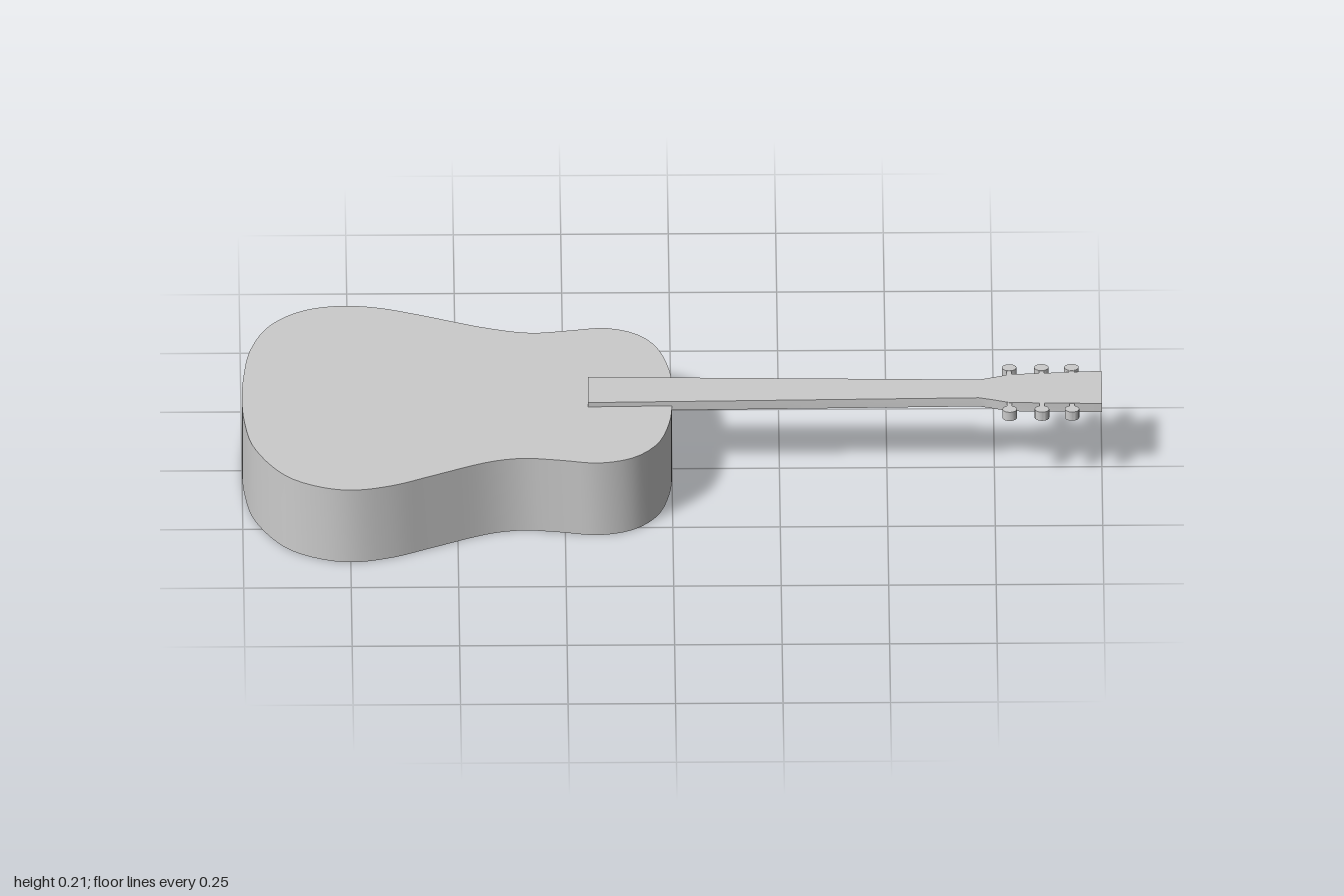
import * as THREE from 'three';
import { toCreasedNormals } from 'three/addons/utils/BufferGeometryUtils.js';

const material = new THREE.MeshStandardMaterial({ color: 0xcccccc });

// Upright slab from an outline of [x, z] points, between two heights
function slab(name, points, bottom, top) {
  const shape = new THREE.Shape(points.map(([x, z]) => new THREE.Vector2(x, -z)));
  let geometry = new THREE.ExtrudeGeometry(shape, { depth: top - bottom, bevelEnabled: false });
  geometry.rotateX(-Math.PI / 2).translate(0, bottom, 0);
  geometry = toCreasedNormals(geometry, 0.6);
  const mesh = new THREE.Mesh(geometry, material);
  mesh.name = name;
  return mesh;
}

// Smooth closed outline through [x, z] points
function smoothOutline(points, count) {
  const curve = new THREE.CatmullRomCurve3(
    points.map(([x, z]) => new THREE.Vector3(x, 0, z)), true, 'centripetal');
  return curve.getSpacedPoints(count).slice(0, -1).map(p => [p.x, p.z]);
}

export function createModel() {
  const model = new THREE.Group();
  model.name = 'guitar';

  // Hollow-waisted body with straight sides
  const bodyOutline = [
    [-1, 0], [-0.995, 0.1], [-0.973, 0.21], [-0.9, 0.33], [-0.82, 0.378], [-0.745, 0.392],
    [-0.65, 0.372], [-0.56, 0.332], [-0.42, 0.272], [-0.345, 0.26], [-0.265, 0.268],
    [-0.17, 0.281], [-0.09, 0.258], [-0.035, 0.2], [-0.005, 0.1],
    [0, 0], [-0.003, -0.1], [-0.035, -0.213], [-0.08, -0.267], [-0.15, -0.293],
    [-0.24, -0.283], [-0.325, -0.274], [-0.425, -0.295], [-0.6, -0.359], [-0.68, -0.384],
    [-0.77, -0.393], [-0.86, -0.371], [-0.933, -0.31], [-0.978, -0.21], [-0.995, -0.1],
  ];
  model.add(slab('body', smoothOutline(bodyOutline, 120), 0, 0.2));

  // Neck and flared headstock in one flat piece
  const bottom = 0.188, top = 0.212;
  model.add(slab('neckAndHeadstock', [
    [-0.195, 0.042], [0.714, 0.029], [0.75, 0.039], [0.785, 0.05], [1, 0.056],
    [1, -0.083], [0.785, -0.07], [0.75, -0.058], [0.714, -0.048], [-0.195, -0.067],
  ], bottom, top));

  // Tuning pegs: thin stem with an oval button, three per side
  for (const [side, edge, tip] of [['left', 0.045, 0.092], ['right', -0.065, -0.113]]) {
    const s = Math.sign(tip);
    [0.785, 0.86, 0.93].forEach((x, i) => {
      const peg = new THREE.Group();
      peg.name = `${side}TuningPeg${i + 1}`;
      const button = [];
      for (let k = 0; k < 16; k++) {
        const a = -k / 16 * Math.PI * 2;
        button.push([x + 0.017 * Math.cos(a), tip - s * 0.014 + 0.014 * Math.sin(a)]);
      }
      const stem = new THREE.Mesh(
        new THREE.BoxGeometry(0.012, top - bottom - 0.002, Math.abs(tip - edge) - 0.015), material);
      stem.name = 'stem';
      stem.position.set(x, (top + bottom) / 2, (edge + tip - s * 0.015) / 2);
      peg.add(slab('button', button, bottom, top), stem);
      model.add(peg);
    });
  }
  return model;
}
